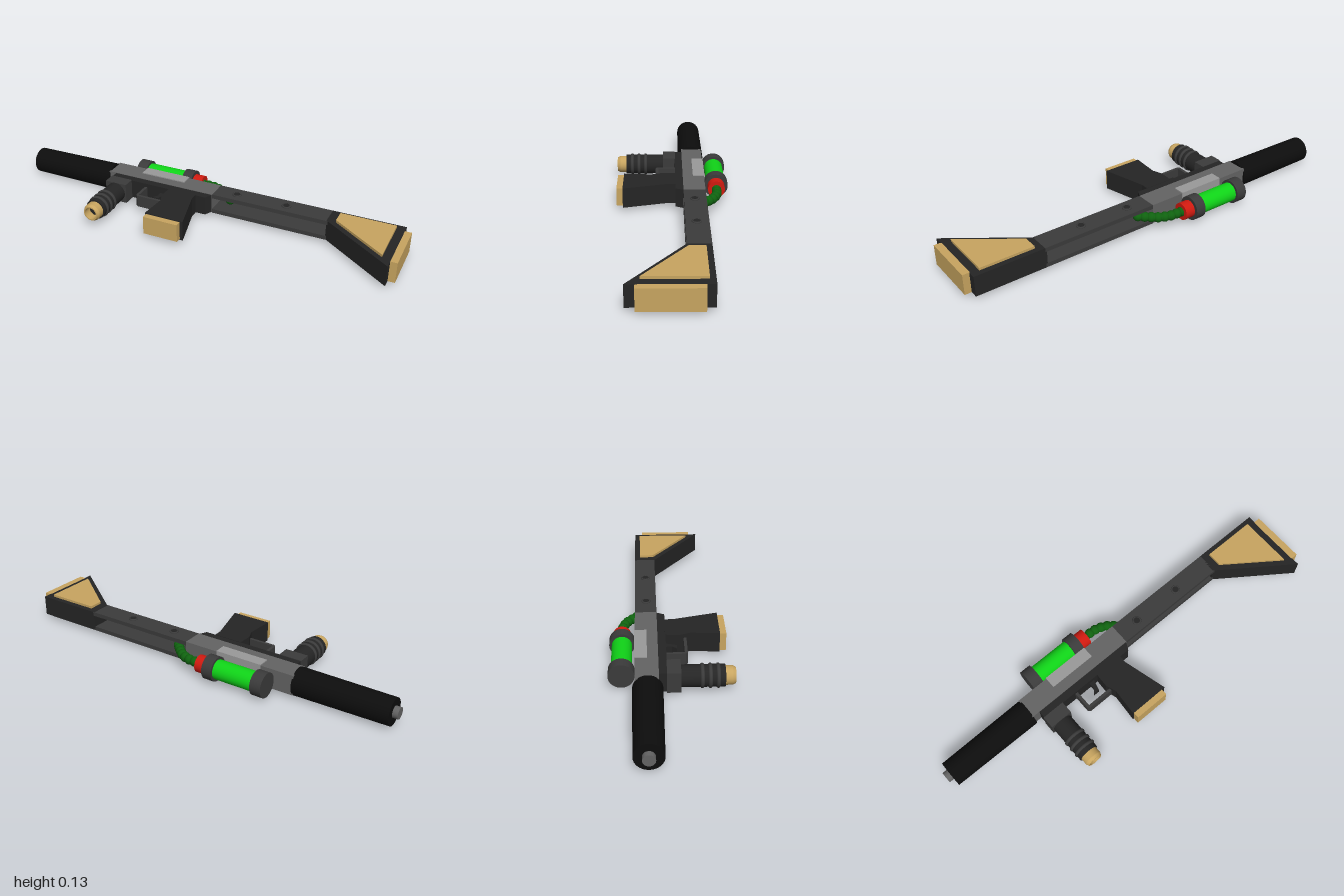
import * as THREE from 'three';

const MID = 0.07; // height of the centre plane (the model lies on its side)
const mat = (color) => new THREE.MeshStandardMaterial({ color });
const M = {
  black: mat(0x0d0d0d), dark: mat(0x252525), iron: mat(0x3b3b3b), steel: mat(0x646464),
  light: mat(0x9a9a9a), tan: mat(0xc8a560), green: mat(0x10d418), red: mat(0xd01a10), hose: mat(0x0f620f),
};

export function createModel() {
  const root = new THREE.Group();
  root.name = 'blaster';

  const add = (name, geometry, material, x = 0, y = 0, z = 0) => {
    const mesh = new THREE.Mesh(geometry, material);
    mesh.name = name;
    mesh.position.set(x, y, z);
    root.add(mesh);
    return mesh;
  };
  // box given by its extents
  const box = (name, material, x0, x1, y0, y1, z0, z1) =>
    add(name, new THREE.BoxGeometry(x1 - x0, y1 - y0, z1 - z0), material,
      (x0 + x1) / 2, (y0 + y1) / 2, (z0 + z1) / 2);
  // outline in x/z, extruded from y0 to y1
  const slab = (name, material, points, y0, y1) => {
    const shape = new THREE.Shape(points.map(([x, z]) => new THREE.Vector2(x, -z)));
    const geometry = new THREE.ExtrudeGeometry(shape, { depth: y1 - y0, bevelEnabled: false });
    geometry.rotateX(-Math.PI / 2);
    return add(name, geometry, material, 0, y0, 0);
  };
  // cylinder along x, r0 at x0 and r1 at x1
  const rod = (name, material, x0, x1, r0, r1, z, y = MID) =>
    add(name, new THREE.CylinderGeometry(r1, r0, x1 - x0, 32).rotateZ(-Math.PI / 2), material, (x0 + x1) / 2, y, z);

  // barrel
  rod('barrelSleeve', M.black, -0.975, -0.52, 0.063, 0.067, -0.104, 0.068);
  rod('muzzle', M.steel, -1, -0.97, 0.027, 0.027, -0.104);

  // receiver
  box('receiver', M.steel, -0.525, 0.05, 0.022, 0.12, -0.16, -0.055);
  slab('lowerReceiver', M.dark, [[-0.485, -0.055], [0.048, -0.055], [0.03, -0.018], [-0.485, -0.018]], 0.024, 0.118);
  box('receiverPanel', M.light, -0.36, -0.125, 0.017, 0.125, -0.163, -0.105);

  // pistol grip and magazine base
  slab('pistolGrip', M.dark,
    [[-0.165, -0.02], [-0.022, -0.02], [-0.022, 0.02], [0.035, 0.236], [-0.16, 0.236], [-0.15, 0.1], [-0.168, 0.05]], 0.02, 0.12);
  box('magazineBase', M.tan, -0.155, 0.02, 0.026, 0.115, 0.23, 0.266);

  // trigger and its guard
  slab('triggerGuard', M.iron,
    [[-0.3, -0.02], [-0.286, -0.02], [-0.286, 0.066], [-0.16, 0.066], [-0.16, 0.08], [-0.29, 0.08], [-0.3, 0.07]], 0.042, 0.1);
  slab('trigger', M.dark,
    [[-0.215, -0.02], [-0.185, -0.02], [-0.2, 0.034], [-0.23, 0.034], [-0.212, 0.01]], 0.055, 0.085);

  // front grip, turned about z
  box('foregripMount', M.iron, -0.488, -0.375, 0.02, 0.12, -0.02, 0.042);
  const turned = (name, material, profile) => {
    const geometry = new THREE.LatheGeometry(profile.map(([r, z]) => new THREE.Vector2(r, z)), 32);
    geometry.rotateX(Math.PI / 2);
    return add(name, geometry, material, -0.432, MID, 0);
  };
  turned('foregrip', M.dark, [[0, 0.035], [0.05, 0.035], [0.05, 0.035], [0.05, 0.236], [0.05, 0.236], [0, 0.236]]);
  for (const z of [0.135, 0.17, 0.205])
    add('foregripRing', new THREE.TorusGeometry(0.047, 0.009, 10, 32), M.iron, -0.432, MID, z);
  turned('foregripCap', M.tan,
    [[0.043, 0.23], [0.043, 0.268], [0.043, 0.268], [0.036, 0.282], [0.036, 0.282], [0.03, 0.282], [0.03, 0.282], [0.03, 0.24]]);

  // two stock rails with bolts on their outer faces
  for (const side of [-1, 1]) {
    const y = MID + side * 0.04;
    box('stockRail', M.iron, 0.05, 0.63, y - 0.01, y + 0.01, -0.16, -0.055);
    for (const x of [0.16, 0.412]) {
      add('bolt', new THREE.CylinderGeometry(0.015, 0.015, 0.012, 20), M.dark, x, MID + side * 0.05, -0.105);
      add('boltRing', new THREE.TorusGeometry(0.018, 0.005, 8, 24).rotateX(Math.PI / 2), M.iron, x, MID + side * 0.051, -0.105);
    }
  }

  // shoulder stock
  slab('stock', M.dark, [[0.623, -0.16], [0.968, -0.16], [0.968, 0.19], [0.623, -0.06]], 0.02, 0.12);
  slab('stockPanels', M.tan, [[0.666, -0.134], [0.928, -0.134], [0.928, 0.13], [0.666, -0.063]], 0.007, 0.132);
  box('buttPad', M.tan, 0.965, 1, 0.02, 0.12, -0.122, 0.148);

  // tank
  rod('tank', M.green, -0.39, -0.16, 0.047, 0.047, -0.22);
  rod('tankFrontCap', M.iron, -0.43, -0.375, 0.059, 0.059, -0.22);
  rod('tankRearCap', M.iron, -0.172, -0.12, 0.059, 0.059, -0.22);
  rod('tankValve', M.red, -0.125, -0.07, 0.042, 0.042, -0.22);

  // beaded hose from the valve into the gap between the rails
  const path = new THREE.CatmullRomCurve3([
    [-0.075, -0.22], [-0.01, -0.217], [0.045, -0.195], [0.08, -0.165], [0.115, -0.13],
  ].map(([x, z]) => new THREE.Vector3(x, MID, z)));
  add('hose', new THREE.TubeGeometry(path, 24, 0.019, 14), M.hose);
  for (let i = 0; i <= 7; i++) {
    const p = path.getPointAt(i / 7);
    add('hoseBead', new THREE.SphereGeometry(0.024, 18, 12), M.hose, p.x, p.y, p.z);
  }
  return root;
}
